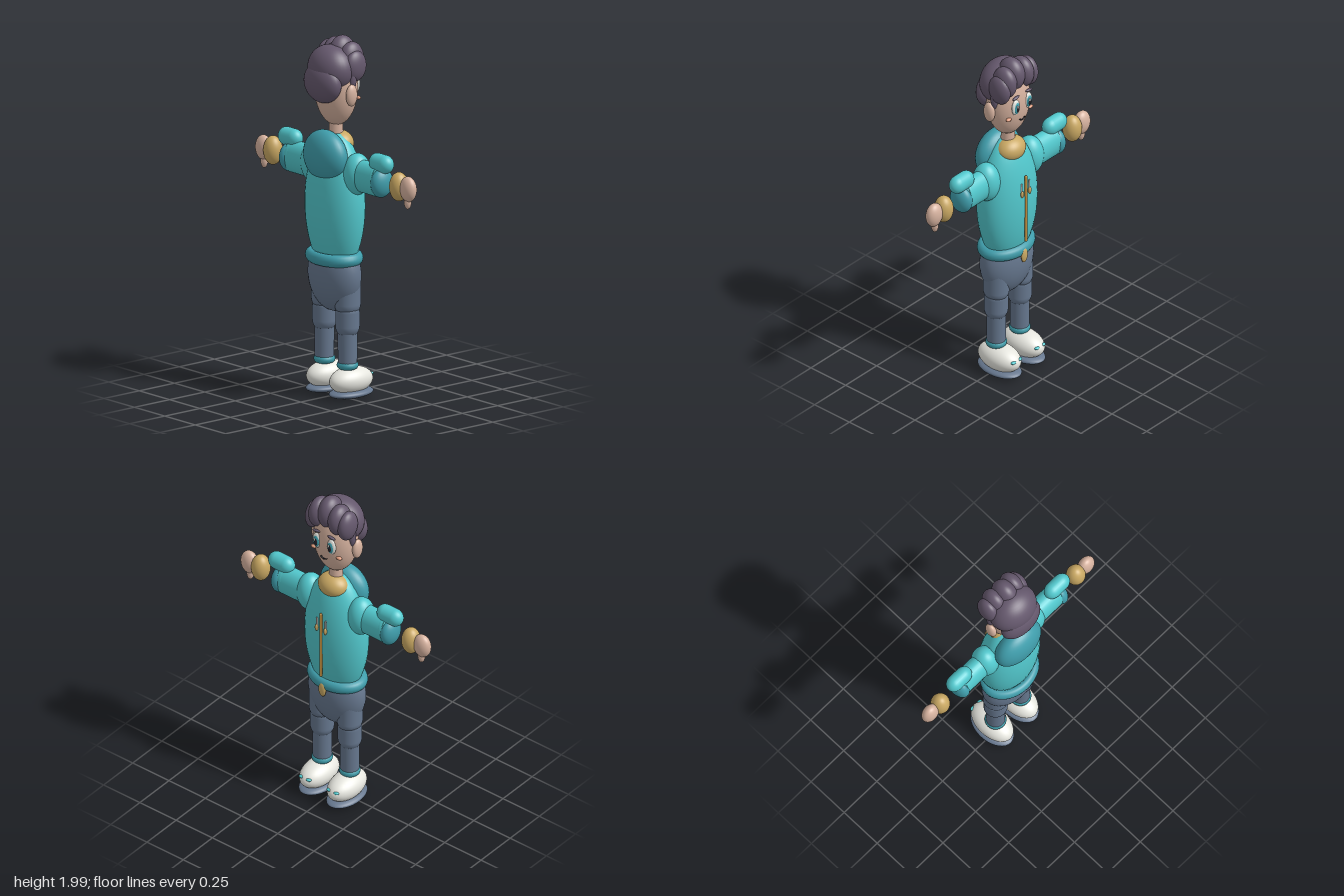
import * as THREE from 'three';

const mat = (name, color) => {
  const m = new THREE.MeshStandardMaterial({ color });
  m.name = name;
  return m;
};

export function createModel() {
  const teal = mat('teal', 0x52c8cd), deepTeal = mat('deep teal', 0x3f9dab);
  const slate = mat('slate blue', 0x66778e), hair = mat('plum hair', 0x65586d);
  const skin = mat('skin', 0xd6b29f), gold = mat('gold', 0xc9a863);
  const white = mat('off white', 0xe6e6df), dark = mat('dark', 0x25232b);
  const amber = mat('amber', 0xc8923f), blush = mat('blush', 0xdc9a7c);

  const model = new THREE.Group();
  model.name = 'hoodedFigure';
  const ball = new THREE.SphereGeometry(1, 36, 24);

  const add = (name, geo, material, pos, scale = [1, 1, 1], rot = [0, 0, 0]) => {
    const mesh = new THREE.Mesh(geo, material);
    mesh.name = name;
    mesh.position.set(...pos);
    mesh.scale.set(...scale);
    mesh.rotation.set(...rot);
    model.add(mesh);
    return mesh;
  };
  const blob = (name, material, pos, radii, rot) => add(name, ball, material, pos, radii, rot);
  // upright capsule between two heights
  const limb = (name, material, x, y0, y1, r, zScale = 1) =>
    add(name, new THREE.CapsuleGeometry(r, y1 - y0 - 2 * r, 10, 28), material,
      [x, (y0 + y1) / 2, 0], [1, 1, zScale]);

  // Head and neck
  blob('head', skin, [0, 1.72, 0], [0.13, 0.215, 0.11]);
  add('neck', new THREE.CylinderGeometry(0.038, 0.04, 0.14, 24), skin, [0, 1.48, 0]);

  // Hair: cap, rear mass, and a row of swept lobes over the forehead
  blob('hairCap', hair, [0, 1.825, 0.035], [0.143, 0.13, 0.115]);
  blob('backHair', hair, [0, 1.755, 0.095], [0.132, 0.112, 0.072]);
  [
    [0.01, 1.9, -0.035, 0.062, 0.098, 0.08],
    [-0.06, 1.885, -0.045, 0.055, 0.092, 0.075],
    [0.075, 1.88, -0.045, 0.052, 0.092, 0.075],
    [-0.112, 1.865, -0.04, 0.045, 0.088, 0.068],
    [0.112, 1.845, -0.04, 0.042, 0.085, 0.07],
  ].forEach(([x, y, z, a, b, c], i) => blob('hairLobe' + (i + 1), hair, [x, y, z], [a, b, c]));

  // Smile
  add('mouth', new THREE.TorusGeometry(0.02, 0.0045, 8, 20, Math.PI), dark,
    [0, 1.642, -0.104], [1, 0.7, 1], [0, 0, Math.PI]);

  // Torso, hood and trimmings
  blob('torso', teal, [0, 1.073, 0.007], [0.195, 0.4, 0.137]);
  blob('hood', deepTeal, [0, 1.345, 0.075], [0.155, 0.143, 0.086]);
  blob('collar', gold, [0, 1.405, -0.018], [0.092, 0.07, 0.076]);
  add('waistband', new THREE.TorusGeometry(0.145, 0.035, 16, 48), deepTeal,
    [0, 0.78, 0.013], [1, 0.76, 1], [Math.PI / 2, 0, 0]);
  add('zipper', new THREE.CapsuleGeometry(0.008, 0.41, 6, 12), amber, [0, 1.06, -0.13]);
  blob('waistClasp', gold, [0, 0.752, -0.118], [0.024, 0.044, 0.012]);
  blob('pelvis', slate, [0, 0.685, 0.01], [0.178, 0.21, 0.115]);

  for (const s of [1, -1]) {
    const side = s > 0 ? 'left' : 'right';

    // Face details
    blob(side + 'Ear', skin, [s * 0.14, 1.695, 0.01], [0.023, 0.06, 0.036]);
    blob(side + 'Sideburn', hair, [s * 0.122, 1.775, -0.012], [0.02, 0.06, 0.022]);
    blob(side + 'Eye', white, [s * 0.05, 1.728, -0.1], [0.028, 0.048, 0.014]);
    blob(side + 'Iris', deepTeal, [s * 0.049, 1.726, -0.107], [0.02, 0.036, 0.011]);
    blob(side + 'Pupil', dark, [s * 0.048, 1.724, -0.112], [0.012, 0.024, 0.009]);
    blob(side + 'EyeGlint', white, [s * 0.048 + 0.006, 1.74, -0.119], [0.006, 0.009, 0.004]);
    blob(side + 'Eyebrow', hair, [s * 0.052, 1.792, -0.104], [0.026, 0.007, 0.009], [0, 0, -s * 0.12]);
    blob(side + 'Cheek', blush, [s * 0.086, 1.658, -0.082], [0.019, 0.01, 0.012]);

    // Drawstring
    add(side + 'Cord', new THREE.CapsuleGeometry(0.005, 0.045, 4, 10), white, [s * 0.03, 1.205, -0.126]);
    blob(side + 'CordEnd', gold, [s * 0.03, 1.165, -0.13], [0.01, 0.022, 0.009]);

    // Arm
    blob(side + 'Shoulder', teal, [s * 0.175, 1.265, 0], [0.075, 0.115, 0.078]);
    add(side + 'UpperArm', new THREE.CylinderGeometry(0.09, 0.09, 0.2, 32), teal,
      [s * 0.26, 1.262, 0], [1, 1, 0.68], [0, 0, Math.PI / 2]);
    blob(side + 'Elbow', teal, [s * 0.345, 1.262, 0], [0.05, 0.09, 0.062]);
    blob(side + 'SleeveEnd', deepTeal, [s * 0.376, 1.255, 0], [0.046, 0.081, 0.07]);
    add(side + 'SleeveRoll', new THREE.CapsuleGeometry(0.051, 0.063, 10, 28), teal,
      [s * 0.374, 1.363, 0], [1, 1, 0.87], [0, 0, Math.PI / 2]);
    blob(side + 'WristCuff', gold, [s * 0.518, 1.262, 0], [0.053, 0.08, 0.053]);
    blob(side + 'Hand', skin, [s * 0.595, 1.262, 0], [0.054, 0.07, 0.039]);
    blob(side + 'Thumb', skin, [s * 0.59, 1.195, 0], [0.021, 0.045, 0.021]);

    // Leg
    const x = s * 0.095;
    limb(side + 'Thigh', slate, x, 0.46, 0.78, 0.07, 1.05);
    limb(side + 'Knee', slate, x, 0.34, 0.55, 0.066);
    add(side + 'Shin', new THREE.CylinderGeometry(0.054, 0.052, 0.26, 28), slate, [x, 0.31, 0]);
    add(side + 'AnkleCuff', new THREE.CapsuleGeometry(0.02, 0.012, 6, 12), deepTeal, [x, 0.19, 0]);
    add(side + 'AnkleBand', new THREE.TorusGeometry(0.036, 0.023, 14, 32), deepTeal,
      [x, 0.19, 0], [1, 1, 1], [Math.PI / 2, 0, 0]);

    // Shoe
    blob(side + 'Shoe', white, [x, 0.103, -0.025], [0.084, 0.075, 0.138]);
    blob(side + 'Sole', slate, [x, 0.034, -0.025], [0.088, 0.028, 0.14]);
    for (const d of [-0.024, 0.024])
      blob(side + 'Lace', teal, [x + d, 0.125, -0.146], [0.017, 0.008, 0.012]);
  }
  return model;
}
